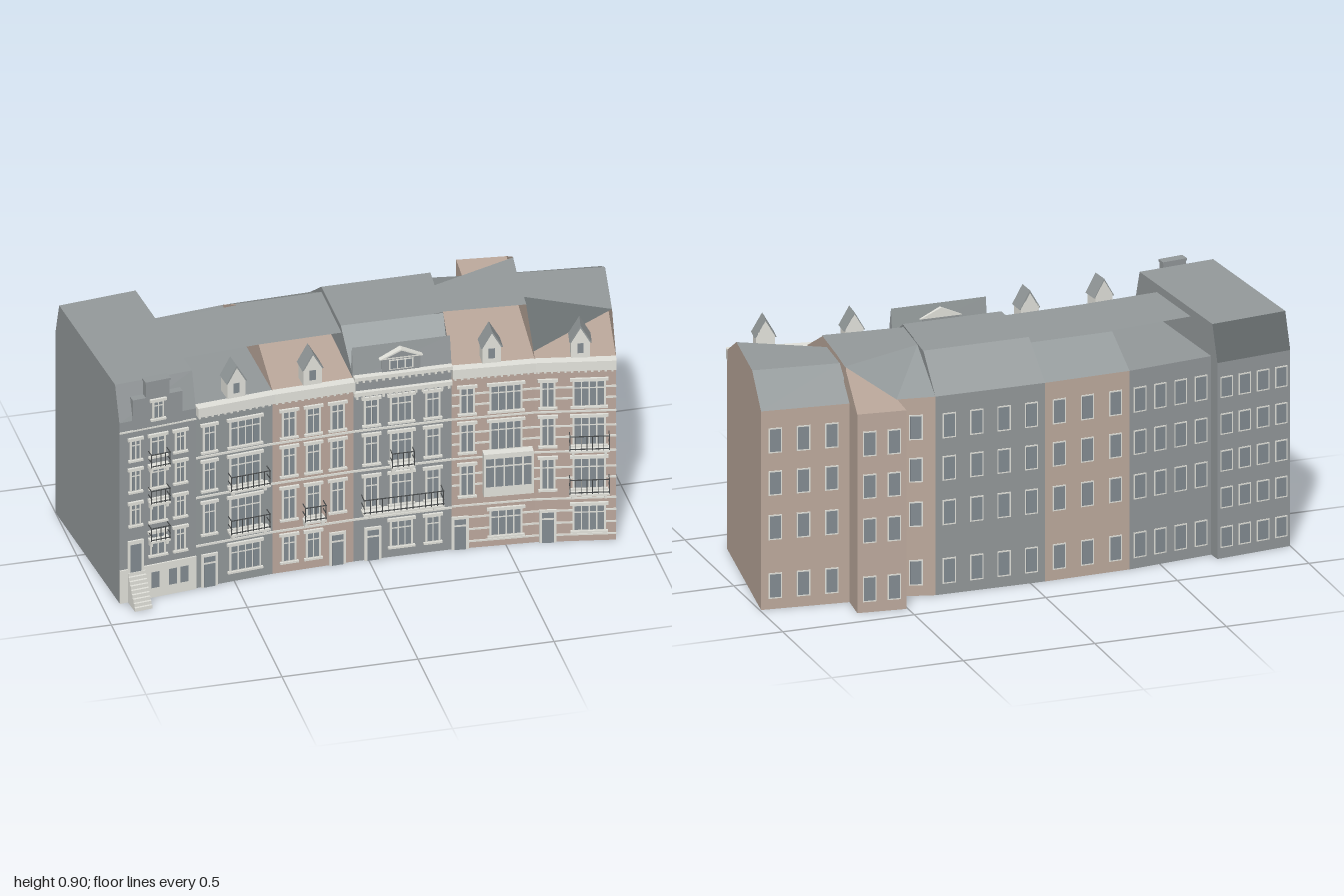
import * as THREE from 'three';

const mat = (name, color) => {
  const m = new THREE.MeshStandardMaterial({ color, side: THREE.DoubleSide });
  m.name = name;
  return m;
};

export function createModel() {
  const M = {
    grey: mat('greyRender', 0x93989a), brick: mat('brick', 0xbdaa9d), roof: mat('roofSlate', 0x949a9b),
    slate: mat('darkSlate', 0x666c6d), trim: mat('paleTrim', 0xe2e2db), glass: mat('glass', 0x838c92),
    iron: mat('ironwork', 0x484b4c), rosy: mat('frontBrick', 0xbba79c),
  };
  const root = new THREE.Group();
  root.name = 'curvedTerrace';

  const add = (parent, name, geo, m, x = 0, y = 0, z = 0) => {
    const mesh = new THREE.Mesh(geo, m);
    mesh.name = name;
    mesh.position.set(x, y, z);
    parent.add(mesh);
    return mesh;
  };
  // Box given by its centre x, bottom y and back z
  const box = (g, name, m, x, y, z, w, h, d) =>
    add(g, name, new THREE.BoxGeometry(w, h, d), m, x, y + h / 2, z + d / 2);
  // Upright prism over a plan outline of [x, z] points
  const prism = (name, m, plan, h) => {
    const s = new THREE.Shape(plan.map(([x, z]) => new THREE.Vector2(x, -z)));
    const geo = new THREE.ExtrudeGeometry(s, { depth: h, bevelEnabled: false });
    return add(root, name, geo.rotateX(-Math.PI / 2), m);
  };
  // Flat convex face from its corners
  const face = (name, m, ...pts) => {
    const v = [];
    for (let i = 1; i < pts.length - 1; i++) v.push(...pts[0], ...pts[i], ...pts[i + 1]);
    const geo = new THREE.BufferGeometry();
    geo.setAttribute('position', new THREE.Float32BufferAttribute(v, 3));
    geo.computeVertexNormals();
    return add(root, name, geo, m);
  };
  // Wall frame: x runs along the wall from a to b, z points outward
  const wall = (name, a, b) => {
    const g = new THREE.Group();
    const dx = b[0] - a[0], dz = b[1] - a[1], w = Math.hypot(dx, dz);
    g.name = name;
    g.position.set(a[0], 0, a[1]);
    g.rotation.y = Math.atan2(-dz, dx);
    root.add(g);
    return { g, w, at: X => (X - a[0]) * w / dx };
  };

  const window_ = (g, x, y, w, h, panes = 2) => {
    box(g, 'windowFrame', M.trim, x, y, 0, w, h, 0.005);
    const pw = (w - 0.01) / panes;
    for (let i = 0; i < panes; i++) {
      const px = x - w / 2 + 0.005 + pw * (i + 0.5);
      box(g, 'pane', M.glass, px, y + 0.004, 0.005, pw - 0.005, h * 0.66, 0.001);
      box(g, 'topPane', M.glass, px, y + h * 0.66 + 0.01, 0.005, pw - 0.005, h * 0.34 - 0.014, 0.001);
    }
    box(g, 'sill', M.trim, x, y - 0.008, 0, w + 0.014, 0.008, 0.01);
    box(g, 'lintel', M.trim, x, y + h, 0, w + 0.018, 0.011, 0.009);
  };
  const door = (g, x, h = 0.135) => {
    box(g, 'doorFrame', M.trim, x, 0, 0, 0.062, h, 0.007);
    box(g, 'doorLeaf', M.glass, x, 0, 0.007, 0.042, h * 0.7, 0.001);
    box(g, 'fanlight', M.glass, x, h * 0.76, 0.007, 0.042, h * 0.16, 0.001);
  };
  const balcony = (g, x, y, w, d = 0.035, h = 0.065) => {
    box(g, 'balconySlab', M.trim, x, y, 0, w, 0.008, d);
    for (const s of [-1, 1]) {
      box(g, 'bracket', M.trim, x + s * w * 0.4, y - 0.02, 0, 0.01, 0.02, d * 0.6);
      for (const r of [0.5, 1]) box(g, 'sideRail', M.iron, x + s * (w / 2 - 0.002), y + h * r, 0, 0.003, 0.003, d);
    }
    for (const r of [0.2, 1]) box(g, 'frontRail', M.iron, x, y + h * r, d - 0.004, w, 0.003, 0.003);
    const n = Math.max(4, Math.round(w / 0.022));
    for (let i = 0; i <= n; i++)
      box(g, 'baluster', M.iron, x - w / 2 + 0.002 + i * (w - 0.004) / n, y, d - 0.004, 0.0025, h, 0.0025);
  };
  const cornice = (f, y, h, d = 0.025) => {
    box(f.g, 'cornice', M.trim, f.w / 2, y, -0.01, f.w, h, d + 0.01);
    for (let x = 0.012; x < f.w; x += 0.024) box(f.g, 'dentil', M.trim, x, y - 0.014, 0, 0.008, 0.014, 0.012);
  };
  const courses = (f, ys, h = 0.008) => {
    for (const y of ys) box(f.g, 'stringCourse', M.trim, f.w / 2, y, 0, f.w, h, 0.004);
  };
  const poly = (pts, depth) => new THREE.ExtrudeGeometry(
    new THREE.Shape(pts.map(p => new THREE.Vector2(...p))), { depth, bevelEnabled: false });
  const dormer = (f, X) => {
    const g = new THREE.Group();
    g.name = 'dormer';
    g.position.set(f.at(X), 0.75, -0.07);
    f.g.add(g);
    add(g, 'dormerBody', poly([[-0.034, 0], [0.034, 0], [0.034, 0.075], [0, 0.132], [-0.034, 0.075]], 0.065), M.trim);
    add(g, 'dormerRoof', poly([[-0.04, 0.07], [-0.034, 0.07], [0, 0.13], [0.034, 0.07], [0.04, 0.07], [0, 0.14]], 0.07), M.roof);
    box(g, 'dormerPane', M.glass, 0, 0.025, 0.065, 0.022, 0.04, 0.002);
  };

  // Plan points: front line (left to right) and back line
  const F = [[-0.935, 0.36], [-0.645, 0.325], [-0.355, 0.295], [-0.055, 0.283], [0.305, 0.287], [0.605, 0.312], [0.89, 0.365]];
  const H = 0.755;
  const A0 = [-1, -0.31], A1 = [-0.71, -0.345];
  const B0 = [-0.705, -0.295], C0 = [-0.38, -0.335], D0 = [-0.055, -0.345], E0 = [0.36, -0.34];
  const E1 = [0.66, -0.26], F0 = [0.665, -0.3], F1 = [0.995, -0.265];
  const bump = [[0.505, -0.435], [0.685, -0.415], [0.66, -0.2], [0.49, -0.2]];

  // House bodies
  prism('houseOneBody', M.grey, [F[0], F[1], A1, A0], 0.745);
  prism('houseTwoBody', M.grey, [F[1], F[2], C0, B0], H);
  prism('houseThreeBody', M.brick, [F[2], F[3], D0, C0], H);
  prism('houseFourBody', M.grey, [F[3], F[4], E0, D0], H);
  prism('houseFiveBody', M.brick, [F[4], F[5], E1, E0], H);
  prism('houseSixBody', M.brick, [F[5], F[6], F1, F0], H);
  prism('rearWing', M.brick, bump, H);

  // Point on the line from front point a to back point b at depth z
  const on = (a, b, z, y) => [a[0] + (b[0] - a[0]) * (z - a[1]) / (b[1] - a[1]), y, z];
  const up = (p, y) => [p[0], y, p[1]];

  // House one: tall roof with a steep back slope
  const a = [up(F[0], 0.745), up(F[1], 0.745), up(A1, 0.745), up(A0, 0.745)];
  const t = [on(F[0], A0, 0.315, 0.88), on(F[1], A1, 0.285, 0.88), on(F[1], A1, -0.305, 0.88), on(F[0], A0, -0.27, 0.88)];
  face('houseOneRoofTop', M.roof, t[0], t[1], t[2], t[3]);
  face('houseOneFrontSlope', M.grey, a[0], a[1], t[1], t[0]);
  face('houseOneRightGable', M.grey, a[1], a[2], t[2], t[1]);
  face('houseOneBackSlope', M.slate, a[2], a[3], t[3], t[2]);
  face('houseOneLeftGable', M.grey, a[3], a[0], t[0], t[3]);

  // Roof decks and back slopes of houses two to five
  const deck = (n, fa, ba, fb, bb, y, zf, zb, slope) => {
    const p = [on(fa, ba, zf[0], y), on(fb, bb, zf[1], y), on(fb, bb, zb[1], y), on(fa, ba, zb[0], y)];
    face(n + 'RoofDeck', M.roof, ...p);
    if (slope) face(n + 'BackSlope', M.roof, p[3], p[2], up(bb, H), up(ba, H));
  };
  deck('houseTwo', F[1], B0, F[2], C0, 0.85, [0.145, 0.12], [-0.13, -0.165], false);
  deck('houseThree', F[2], C0, F[3], D0, 0.85, [0.12, 0.112], [-0.175, -0.18], true);
  deck('houseFour', F[3], D0, F[4], E0, 0.872, [0.1, 0.1], [-0.18, -0.18], true);
  deck('houseFive', F[4], E0, F[5], E1, 0.866, [0.085, 0.11], [-0.1, -0.1], false);
  face('houseFiveBackSlope', M.roof, on(F[4], E0, -0.1, 0.866), on(F[5], E1, -0.1, 0.866), [0.66, 0.866, -0.22], [0.5, H, -0.32], up(E0, H));

  // Party walls standing above the eaves
  const fin = (n, m, f, b, y, z1, z2) => face(n, m, up(f, H), on(f, b, z1, y), on(f, b, z2, y), up(b, H));
  fin('partyWallThree', M.brick, F[2], C0, 0.85, 0.12, -0.17);
  fin('partyWallFour', M.grey, F[3], D0, 0.872, 0.1, -0.18);
  fin('partyWallFive', M.grey, F[4], E0, 0.87, 0.1, -0.18);
  fin('partyWallSix', M.brick, F[5], E1, 0.866, 0.1, -0.22);
  fin('endGable', M.brick, F[6], F1, 0.85, 0.19, -0.1);
  face('rearWingGable', M.brick, [0.66, H, -0.2], [0.66, 0.868, -0.22], up(bump[1], H));

  // House six roof
  const g6 = [on(F[6], F1, 0.19, 0.85), on(F[6], F1, -0.1, 0.85)];
  face('houseSixRoofDeck', M.roof, [0.635, 0.85, 0.03], g6[0], g6[1], on(F[5], F0, -0.14, 0.85));
  face('houseSixFrontSlope', M.slate, [0.61, 0.765, 0.27], g6[0], [0.635, 0.85, 0.03]);
  face('houseSixBackSlope', M.roof, on(F[5], F0, -0.14, 0.85), g6[1], up(F1, H), up(F0, H));

  // House four: mansard front with a valley slope behind it
  const m0 = [-0.055, 0.872, 0.26], m1 = [0.305, 0.872, 0.262];
  face('mansardFront', M.grey, up(F[3], H), up(F[4], H), m1, m0);
  face('mansardBack', M.roof, [0.305, H, 0.245], [-0.055, H, 0.245], m0, m1);
  face('mansardValley', M.roof, [-0.055, H, 0.245], [0.305, H, 0.245], on(F[4], E0, 0.1, 0.87), on(F[3], D0, 0.1, 0.872));

  const front = ['houseOneFront', 'houseTwoFront', 'houseThreeFront', 'houseFourFront', 'houseFiveFront', 'houseSixFront']
    .map((n, i) => wall(n, F[i], F[i + 1]));
  const [f1, f2, f3, f4, f5, f6] = front;
  for (const f of [f3, f5, f6]) box(f.g, 'brickFacing', M.rosy, f.w / 2, 0, -0.004, f.w, 0.72, 0.0045);

  // Facade windows: rows of [bottom, height], columns of [x, width, panes]
  const rows = [[0.045, 0.105], [0.22, 0.125], [0.4, 0.115], [0.56, 0.105]];
  const grid = (f, cols, rs = rows) => {
    for (const [y, h] of rs) for (const [X, w, n] of cols) window_(f.g, f.at(X), y, w, h, n);
  };

  // House one: pale base, balconies, stepped gable and stairs
  box(f1.g, 'paleBase', M.trim, f1.w / 2, 0, 0, f1.w, 0.135, 0.006);
  for (const X of [-0.8, -0.735, -0.69]) box(f1.g, 'baseWindow', M.glass, f1.at(X), 0.04, 0.006, 0.03, 0.065, 0.001);
  box(f1.g, 'doorFrame', M.trim, f1.at(-0.875), 0.12, 0, 0.06, 0.13, 0.007);
  box(f1.g, 'frontDoor', M.glass, f1.at(-0.875), 0.12, 0.007, 0.042, 0.115, 0.001);
  grid(f1, [[-0.79, 0.06, 2], [-0.705, 0.042, 2]], [[0.175, 0.09]]);
  grid(f1, [[-0.875, 0.042, 2], [-0.79, 0.06, 2], [-0.705, 0.042, 2]], [[0.315, 0.085], [0.455, 0.085], [0.585, 0.08]]);
  for (const y of [0.24, 0.395, 0.545]) balcony(f1.g, f1.at(-0.79), y, 0.075, 0.035, 0.06);
  courses(f1, [0.7], 0.006);
  box(f1.g, 'gableWide', M.grey, f1.at(-0.79), 0.7, -0.03, 0.19, 0.13, 0.032);
  box(f1.g, 'gableTop', M.grey, f1.at(-0.79), 0.83, -0.03, 0.09, 0.065, 0.032);
  box(f1.g, 'gableCap', M.grey, f1.at(-0.79), 0.888, -0.032, 0.096, 0.008, 0.038);
  const attic = new THREE.Group();
  attic.name = 'atticWindow';
  attic.position.z = 0.002;
  f1.g.add(attic);
  window_(attic, f1.at(-0.79), 0.74, 0.045, 0.07);
  for (let i = 0; i < 9; i++)
    box(f1.g, 'step', M.trim, f1.at(-0.872), 0, 0, 0.066, 0.122 - i * 0.0135, 0.01 + i * 0.0083);

  // House two
  door(f2.g, f2.at(-0.595));
  grid(f2, [[-0.46, 0.12, 4]]);
  grid(f2, [[-0.595, 0.05, 2]], rows.slice(1));
  for (const y of [0.205, 0.385]) balcony(f2.g, f2.at(-0.45), y, 0.15, 0.038);

  // House three
  grid(f3, [[-0.295, 0.055, 2], [-0.205, 0.055, 2]]);
  grid(f3, [[-0.115, 0.055, 2]], rows.slice(1));
  door(f3.g, f3.at(-0.115));
  balcony(f3.g, f3.at(-0.205), 0.205, 0.08, 0.038);

  // House four
  door(f4.g, f4.at(0.015));
  grid(f4, [[0.12, 0.085, 3], [0.235, 0.055, 2]]);
  grid(f4, [[0.01, 0.055, 2]], rows.slice(1));
  balcony(f4.g, f4.at(0.12), 0.205, 0.295, 0.045);
  balcony(f4.g, f4.at(0.12), 0.38, 0.085, 0.038);
  box(f4.g, 'pedimentBlock', M.grey, f4.at(0.12), 0.765, -0.04, 0.14, 0.06, 0.04);
  box(f4.g, 'pedimentWindow', M.trim, f4.at(0.12), 0.776, 0, 0.09, 0.04, 0.002);
  for (const s of [-1, 0, 1]) box(f4.g, 'pedimentPane', M.glass, f4.at(0.12) + s * 0.028, 0.78, 0.002, 0.023, 0.032, 0.001);
  add(f4.g, 'pediment', poly([[-0.08, 0], [0.08, 0], [0, 0.036]], 0.045), M.trim, f4.at(0.12), 0.822, -0.04);
  add(f4.g, 'pedimentField', poly([[-0.055, 0.006], [0.055, 0.006], [0, 0.03]], 0.001), M.grey, f4.at(0.12), 0.822, 0.005);

  // House five with its oriel
  door(f5.g, f5.at(0.335));
  grid(f5, [[0.36, 0.055, 2]], rows.slice(1));
  grid(f5, [[0.5, 0.12, 4]], [rows[0], rows[2], rows[3]]);
  const ox = f5.at(0.505);
  box(f5.g, 'oriel', M.trim, ox, 0.225, 0, 0.18, 0.175, 0.035);
  for (let i = 0; i < 5; i++) {
    box(f5.g, 'orielPane', M.glass, ox - 0.068 + i * 0.034, 0.265, 0.035, 0.028, 0.08, 0.001);
    box(f5.g, 'orielTopPane', M.glass, ox - 0.068 + i * 0.034, 0.352, 0.035, 0.028, 0.028, 0.001);
  }

  // House six
  door(f6.g, f6.at(0.65));
  grid(f6, [[0.795, 0.12, 4]]);
  grid(f6, [[0.65, 0.055, 2]], rows.slice(1));
  for (const y of [0.205, 0.385]) balcony(f6.g, f6.at(0.795), y, 0.145, 0.038);

  // Cornices, string courses and dormers
  for (const f of [f2, f3, f5, f6]) cornice(f, 0.718, 0.038);
  cornice(f4, 0.688, 0.016, 0.015);
  cornice(f4, 0.755, 0.014, 0.02);
  for (const f of [f2, f3, f4]) courses(f, [0.17, 0.37, 0.535]);
  for (const f of [f5, f6]) courses(f, [0.025, 0.075, 0.125, 0.175, 0.26, 0.305, 0.37, 0.43, 0.475, 0.535, 0.59, 0.635], 0.007);
  dormer(f2, -0.49);
  dormer(f3, -0.205);
  dormer(f5, 0.45);
  dormer(f6, 0.765);

  // Rear windows, evenly spread along each back wall
  const rearRows = [[0.04, 0.097], [0.263, 0.095], [0.432, 0.093], [0.593, 0.095]];
  const rear = (name, p, q, n, rs = rearRows) => {
    const f = wall(name, p, q);
    for (const [y, h] of rs) for (let i = 0; i < n; i++) {
      const x = f.w * (i + 0.5) / n;
      box(f.g, 'rearFrame', M.trim, x, y, 0, 0.05, h, 0.002);
      box(f.g, 'rearPane', M.glass, x, y + 0.005, 0.002, 0.041, h - 0.01, 0.001);
    }
  };
  rear('houseSixRear', F1, [0.685, -0.298], 3);
  rear('rearWingRear', bump[1], bump[0], 2);
  rear('houseFiveRear', [0.495, -0.304], E0, 1);
  rear('houseFourRear', E0, D0, 4);
  rear('houseThreeRear', D0, C0, 3);
  rear('houseTwoRear', C0, B0, 4);
  rear('houseOneRear', A1, A0, 4, [0.04, 0.19, 0.33, 0.47, 0.61].map(y => [y, 0.08]));

  return root;
}
